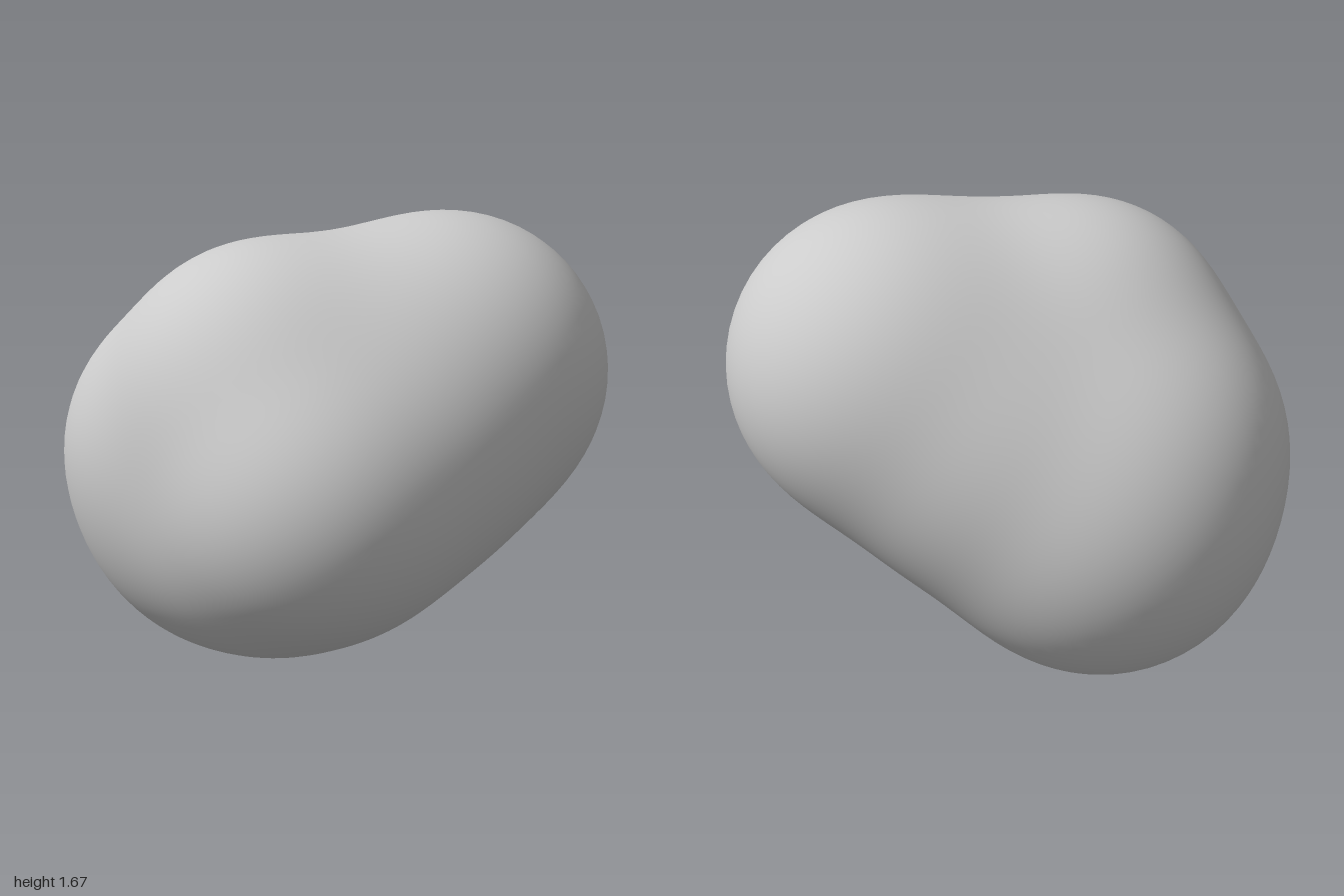
import * as THREE from 'three';
import { mergeVertices } from 'three/addons/utils/BufferGeometryUtils.js';

// Overlapping lobes of the pebble: x, y, z, radius
const LOBES = [
  [0.42, 1.09, -0.12, 0.57],   // upper lobe
  [-0.33, 0.61, -0.25, 0.60],  // lower back lobe
  [-0.08, 0.79, 0.34, 0.51],   // front nose
  [-0.26, 1.10, 0.08, 0.50],   // top shoulder
  [-0.46, 0.83, -0.15, 0.50],  // side bulge
  [0.06, 0.85, -0.22, 0.54],   // waist between upper and lower lobes
  [0.20, 0.92, 0.15, 0.49],    // fill between upper lobe and nose
  [-0.22, 0.62, 0.08, 0.48],   // fill under the nose
  [0.08, 1.08, 0.00, 0.46],    // fill of the top saddle
];
const BLEND = 12;

// Smooth union of the lobes: negative inside, positive outside
function field(p) {
  let sum = 0;
  for (const [x, y, z, r] of LOBES) {
    sum += Math.exp(-BLEND * (Math.hypot(p.x - x, p.y - y, p.z - z) - r));
  }
  return -Math.log(sum) / BLEND;
}

// Push each point of a sphere out to the blended surface
function blobGeometry() {
  let geometry = new THREE.IcosahedronGeometry(1, 20);
  geometry.deleteAttribute('normal');
  geometry.deleteAttribute('uv');
  geometry = mergeVertices(geometry, 1e-4);
  const origin = new THREE.Vector3(-0.02, 0.86, -0.04);
  const pos = geometry.attributes.position;
  const dir = new THREE.Vector3();
  const p = new THREE.Vector3();
  for (let i = 0; i < pos.count; i++) {
    dir.fromBufferAttribute(pos, i).normalize();
    let near = 0, far = 1.6;
    for (let step = 0; step < 30; step++) {
      const mid = (near + far) / 2;
      p.copy(origin).addScaledVector(dir, mid);
      if (field(p) < 0) near = mid;
      else far = mid;
    }
    pos.setXYZ(i, p.x, p.y, p.z);
  }
  geometry.computeVertexNormals();
  return geometry;
}

export function createModel() {
  const group = new THREE.Group();
  group.name = 'pebble';
  const body = new THREE.Mesh(
    blobGeometry(),
    new THREE.MeshStandardMaterial({ color: 0xcccccc })
  );
  body.name = 'body';
  group.add(body);
  return group;
}
